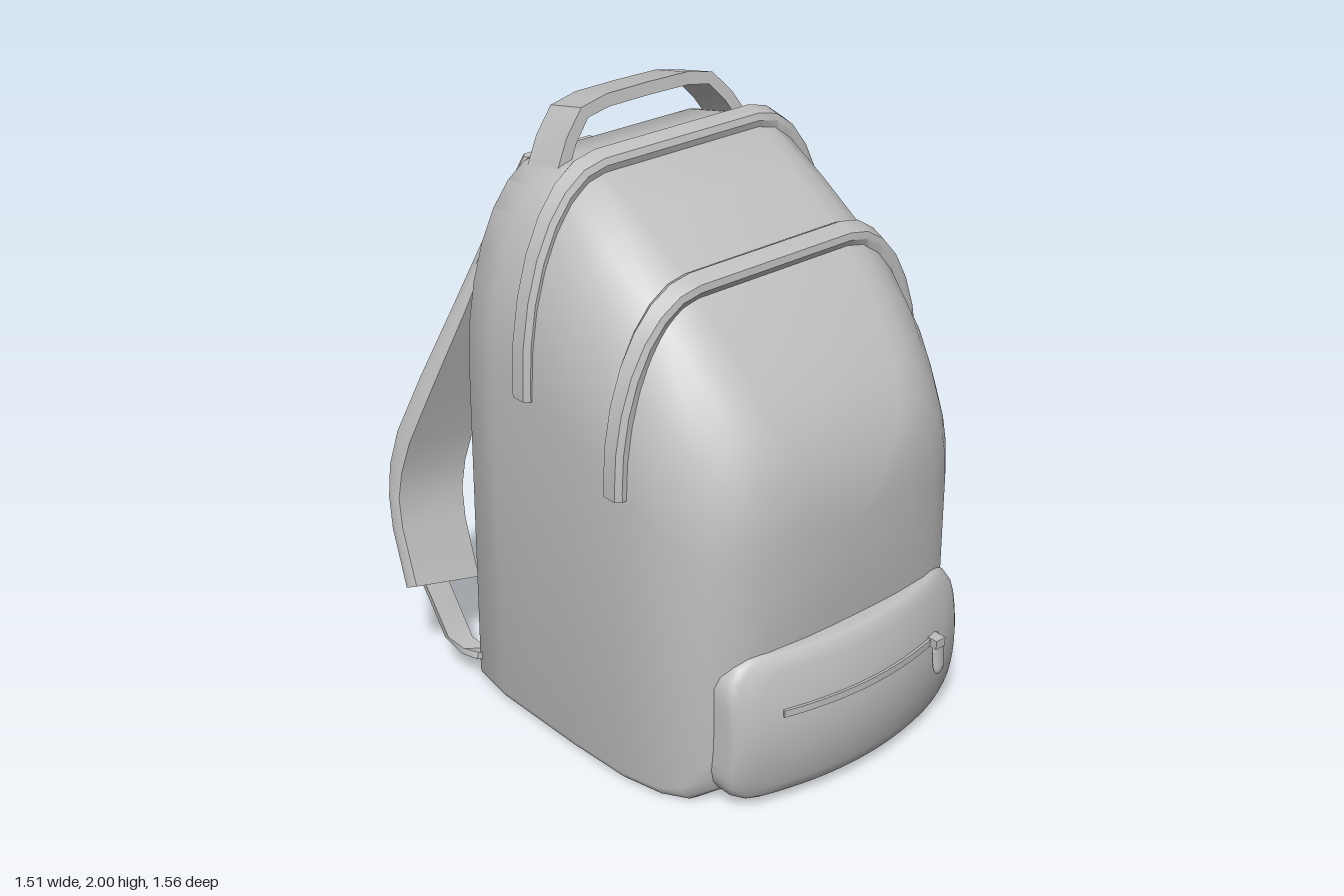
import * as THREE from 'three';
import { toCreasedNormals } from 'three/addons/utils/BufferGeometryUtils.js';

const V = (x, y, z) => new THREE.Vector3(x, y, z);
const fabric = new THREE.MeshStandardMaterial({ color: 0xbfbfbf });
fabric.name = 'greyFabric';

// Skin closed rings, counterclockwise about the direction of travel, and cap both ends.
function loft(rings, crease = 0.6) {
  const n = rings[0].length, pos = [], idx = [];
  const add = p => pos.push(p.x, p.y, p.z) / 3 - 1;
  rings.forEach(r => r.forEach(add));
  for (let i = 0; i < rings.length - 1; i++) {
    for (let j = 0; j < n; j++) {
      const a = i * n + j, b = i * n + (j + 1) % n;
      idx.push(a, b, b + n, a, b + n, a + n);
    }
  }
  [0, rings.length - 1].forEach((i, end) => {
    const c = add(rings[i].reduce((s, p) => s.add(p), V(0, 0, 0)).divideScalar(n));
    for (let j = 0; j < n; j++) {
      const a = i * n + j, b = i * n + (j + 1) % n;
      if (end) idx.push(c, a, b); else idx.push(c, b, a);
    }
  });
  const g = new THREE.BufferGeometry();
  g.setAttribute('position', new THREE.Float32BufferAttribute(pos, 3));
  g.setIndex(idx);
  return toCreasedNormals(g, crease);
}

// Carry a flat profile of [width, thickness] points along a path.
function sweep(path, widthDir, profile, thick = () => 1) {
  return loft(path.map((p, i) => {
    const t = path[Math.min(i + 1, path.length - 1)].clone().sub(path[Math.max(i - 1, 0)]).normalize();
    const u = (typeof widthDir === 'function' ? widthDir(i) : widthDir).clone().normalize();
    const v = t.cross(u).normalize();
    return profile.map(([a, b]) => p.clone().addScaledVector(u, a).addScaledVector(v, b * thick(i / (path.length - 1))));
  }));
}

const flatStrip = (w, lo, hi) => [[-w, lo], [w, lo], [w, hi], [-w, hi]];

// Upright section with wide rounded shoulders and tight lower corners.
function archRing(z, w, yb, yt, rb, lean) {
  const h = yt - yb, out = [];
  const corner = (sx, cy, rx, ry, from, steps) => {
    for (let i = 0; i <= steps; i++) {
      const a = from + (Math.PI / 2) * i / steps;
      const y = cy + ry * Math.sin(a);
      out.push(V(sx * (w - rx) + rx * Math.cos(a), y, z - lean * (1 - y / 1.8)));
    }
  };
  const bx = Math.min(rb, w * 0.7), by = Math.min(rb, h * 0.4), tx = w * 0.5, ty = h * 0.35;
  corner(1, yb + by, bx, by, -Math.PI / 2, 3);
  corner(1, yt - ty, tx, ty, 0, 7);
  corner(-1, yt - ty, tx, ty, Math.PI / 2, 7);
  corner(-1, yb + by, bx, by, Math.PI, 3);
  return out;
}

// Bulging front of the small pocket.
const pocketFront = (x, y) => 0.775 - 0.1 * (x / 0.48) ** 2 - 0.05 * ((y - 0.285) / 0.25) ** 2;

function pocketRing(scale, dz) {
  const w = 0.485, h = 0.255, r = 0.11, s = new THREE.Shape();
  s.absarc(w - r, h - r, r, 0, Math.PI / 2);
  s.absarc(r - w, h - r, r, Math.PI / 2, Math.PI);
  s.absarc(r - w, r - h, r, Math.PI, Math.PI * 1.5);
  s.absarc(w - r, r - h, r, Math.PI * 1.5, Math.PI * 2);
  s.closePath();
  return s.getSpacedPoints(64).slice(0, 64).map(p => {
    const x = p.x * scale, y = 0.285 + p.y * scale;
    return V(x, y, pocketFront(x, y) + dz);
  });
}

export function createModel() {
  const model = new THREE.Group();
  const part = (name, geometry, parent = model) => {
    const m = new THREE.Mesh(geometry, fabric);
    m.name = name;
    parent.add(m);
    return m;
  };

  // Main bag: z, half width, bottom, top, lower corner radius, backward lean
  part('bagBody', loft([
    [-0.45, 0.575, 0.03, 1.785, 0.03, 0.04],
    [-0.43, 0.595, 0.01, 1.81, 0.03, 0.04],
    [-0.3, 0.61, 0, 1.835, 0.03, 0.02],
    [-0.15, 0.61, 0, 1.86, 0.03, 0],
    [0.05, 0.61, 0, 1.74, 0.03, 0],
    [0.28, 0.6, 0, 1.595, 0.03, 0],
    [0.42, 0.575, 0, 1.45, 0.04, 0],
    [0.5, 0.54, 0, 1.36, 0.06, 0],
    [0.57, 0.5, 0.04, 1.27, 0.12, 0],
    [0.62, 0.445, 0.2, 1.19, 0.25, 0],
    [0.655, 0.36, 0.4, 1.11, 0.3, 0],
    [0.68, 0.23, 0.62, 1.02, 0.3, 0],
    [0.69, 0.09, 0.78, 0.93, 0.3, 0],
  ].map(s => archRing(...s)), 0.75));

  // Zip bands over the shoulders, each with a pull on the left end
  const zipBand = (name, z, w, top, endY, slope) => {
    const g = new THREE.Group();
    g.name = name;
    const rx = w * 0.5, ry = top * 0.35, right = [V(w, endY, z)];
    for (let i = 0; i <= 7; i++) {
      const a = (Math.PI / 2) * i / 7;
      right.push(V(w - rx + rx * Math.cos(a), top - ry + ry * Math.sin(a), z));
    }
    const path = [...right, ...right.map(p => V(-p.x, p.y, z)).reverse()];
    const lift = path.map(p => Math.max(0, (p.y - top + ry) / ry));
    part('band', sweep(path, i => V(0, -slope * lift[i], 1),
      [[-0.04, -0.04], [0.04, -0.04], [0.04, 0.008], [0.026, 0.026], [-0.026, 0.026], [-0.04, 0.008]]), g);
    const pull = part('zipPull', new THREE.CapsuleGeometry(0.03, 0.06, 4, 10).scale(0.35, 1, 1), g);
    pull.position.set(w + 0.045, endY, z);
    pull.rotation.z = 0.42;
    const slider = part('zipSlider', new THREE.BoxGeometry(0.05, 0.05, 0.03), g);
    slider.position.set(w + 0.02, endY + 0.035, z);
    model.add(g);
  };
  zipBand('rearZip', -0.14, 0.607, 1.86, 1.18, 0.3);
  zipBand('frontZip', 0.28, 0.6, 1.598, 1.01, 0.55);

  // Front pocket with a slim zip
  part('frontPocket', loft([
    pocketRing(1, -0.16), pocketRing(1, -0.025), pocketRing(0.985, -0.008), pocketRing(0.95, 0),
    ...[0.8, 0.65, 0.5, 0.35, 0.2, 0.05].map(s => pocketRing(s, 0)),
  ], 0.7));
  const zipPath = [];
  for (let i = 0; i <= 16; i++) {
    const x = -0.33 + 0.66 * i / 16;
    zipPath.push(V(x, 0.358, pocketFront(x, 0.358)));
  }
  part('pocketZip', sweep(zipPath, V(0, 1, 0), flatStrip(0.012, -0.02, 0.007)));
  const pocketPull = part('pocketZipPull', new THREE.CapsuleGeometry(0.032, 0.055, 4, 10).scale(1, 1, 0.35));
  pocketPull.position.set(0.305, 0.305, 0.757);
  pocketPull.rotation.set(-0.12, 0.25, 0);
  part('pocketZipSlider', new THREE.BoxGeometry(0.04, 0.03, 0.06)).position.set(0.3, 0.36, 0.74);

  // Open side pocket: footprints as [z, x], outer wall up, inner wall down
  const foot = (pts, y) => pts.map(([z, x]) => V(x, y, z));
  const outer = [[0.195, 0.55], [0.2, 0.65], [0.17, 0.7], [0.07, 0.75], [-0.31, 0.75], [-0.38, 0.69], [-0.39, 0.55]];
  const inner = [[0.14, 0.55], [0.14, 0.65], [0.12, 0.67], [0.05, 0.695], [-0.29, 0.695], [-0.33, 0.66], [-0.335, 0.55]];
  const base = [[0.17, 0.55], [0.17, 0.62], [0.15, 0.64], [0.06, 0.665], [-0.3, 0.665], [-0.35, 0.64], [-0.36, 0.55]];
  part('sidePocket', loft([
    foot(base, 0.035), foot(outer, 0.1), foot(outer, 0.68), foot(inner, 0.68), foot(inner, 0.14),
  ], 0.7));

  // Carry handle, tilted back
  const half = [[0.385, 1.8], [0.33, 1.89], [0.26, 1.965], [0.16, 1.985], [0, 1.987]];
  const handle = [...half, ...half.slice(0, -1).reverse().map(([x, y]) => [-x, y])];
  part('carryHandle', sweep(handle.map(([x, y]) => V(x, y, -0.315 - 0.21 * (y - 1.8))),
    V(0, 0.2, 1), flatStrip(0.077, -0.04, 0)));

  // Single shoulder strap and the webbing that anchors it
  const strap = new THREE.Group();
  strap.name = 'shoulderStrap';
  const strapPath = [V(-0.215, 1.8, -0.45), V(-0.3, 1.55, -0.525), V(-0.39, 1.28, -0.6), V(-0.48, 1.02, -0.675),
    V(-0.545, 0.82, -0.73), V(-0.57, 0.7, -0.75), V(-0.59, 0.6, -0.742), V(-0.605, 0.5, -0.71), V(-0.625, 0.32, -0.62)];
  part('paddedStrap', sweep(strapPath, i => V(1, -0.03 * i, 0),
    [[-0.127, -0.03], [0.127, -0.03], [0.135, 0], [0.127, 0.03], [-0.127, 0.03], [-0.135, 0]],
    t => 0.35 + 0.85 * Math.sin(Math.PI * Math.min(0.75, t))), strap);
  part('webbing', sweep([V(-0.66, 0.36, -0.63), V(-0.65, 0.28, -0.59), V(-0.625, 0.14, -0.545),
    V(-0.595, 0.095, -0.5), V(-0.57, 0.09, -0.45)], V(1, -0.3, 0.2), flatStrip(0.045, -0.012, 0.012)), strap);
  model.add(strap);

  return model;
}
